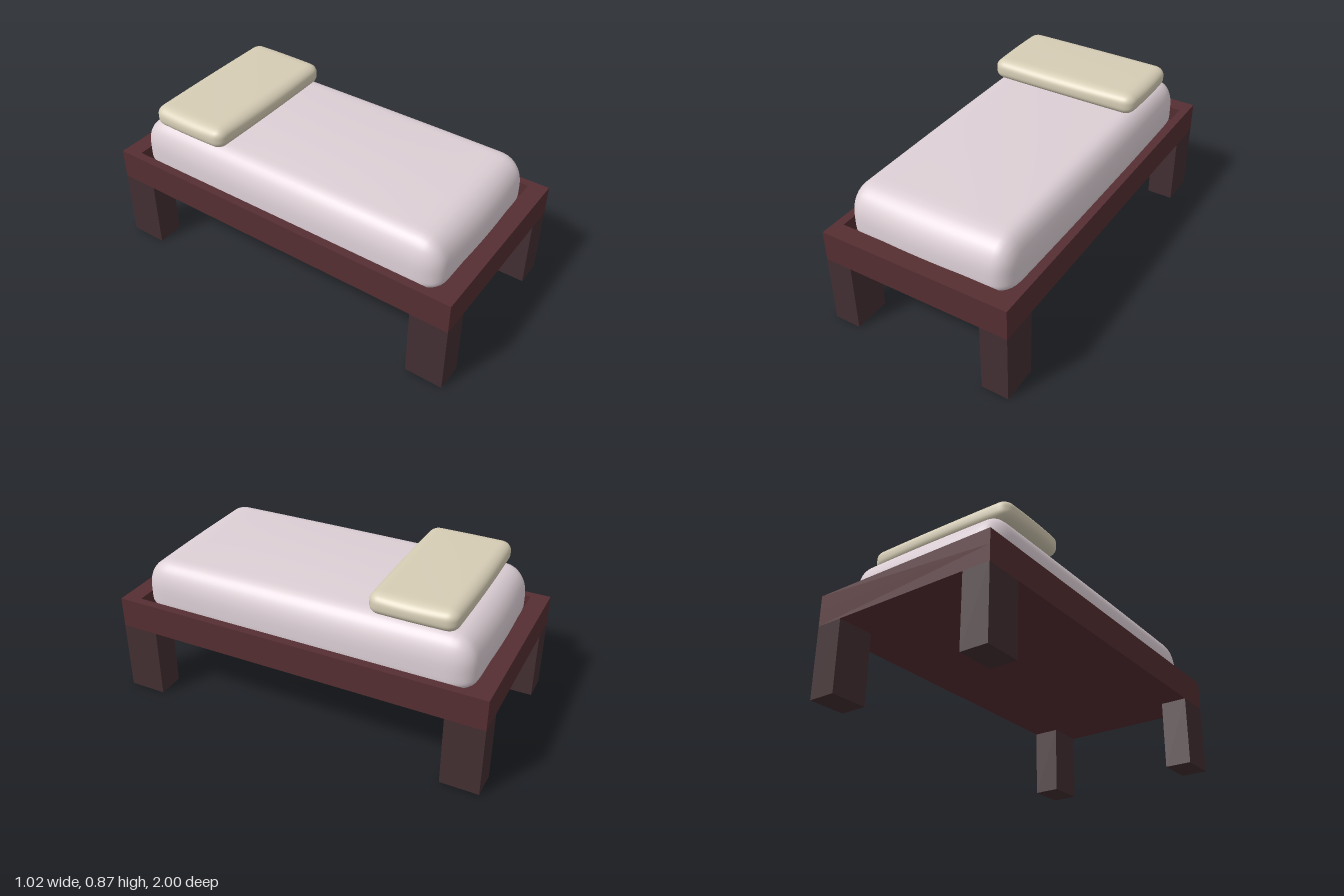
import * as THREE from 'three';
import { mergeVertices } from 'three/addons/utils/BufferGeometryUtils.js';

const material = (color) => new THREE.MeshStandardMaterial({ color });

// Soft box: half sizes, edge radii and outward bulge are given per axis [x, y, z].
// The lower half can be squashed with lowerScale.
function softBox(half, radius, bulge, lowerScale = 1) {
  let geo = new THREE.BoxGeometry(2, 2, 2, 32, 20, 32);
  geo.deleteAttribute('uv');
  geo.deleteAttribute('normal');
  const pos = geo.attributes.position;
  for (let i = 0; i < pos.count; i++) {
    const c = [pos.getX(i), pos.getY(i), pos.getZ(i)];
    // denser rows near the edges
    const u = c.map((v) => Math.sign(v) * (1 - (1 - Math.abs(v)) ** 2));
    const p = u.map((v, k) => v * half[k]);
    const core = p.map((v, k) => THREE.MathUtils.clamp(v, radius[k] - half[k], half[k] - radius[k]));
    const delta = new THREE.Vector3(...p.map((v, k) => (v - core[k]) / radius[k])).normalize().toArray();
    const out = core.map((v, k) => v + delta[k] * radius[k]);
    const n = out.map((v, k) => v / half[k]);
    const full = n.map((v, k) => out[k] + bulge[k] * v * (1 - n[(k + 1) % 3] ** 2) * (1 - n[(k + 2) % 3] ** 2));
    if (full[1] < 0) full[1] *= lowerScale;
    pos.setXYZ(i, ...full);
  }
  geo = mergeVertices(geo, 1e-5);
  geo.computeVertexNormals();
  return geo;
}

export function createModel() {
  const model = new THREE.Group();
  const wood = material(0x552e32);
  const legWood = material(0x432f32);

  const add = (name, geometry, mat, x, y, z) => {
    const mesh = new THREE.Mesh(geometry, mat);
    mesh.name = name;
    mesh.position.set(x, y, z);
    model.add(mesh);
    return mesh;
  };

  // Frame: solid base with a raised rim around the recess
  const bottom = 0.377, floor = 0.46, top = 0.54;
  add('frameBase', new THREE.BoxGeometry(1.02, floor - bottom, 2), wood, 0, (floor + bottom) / 2, 0);
  const rectangle = (Type, x, z) => new Type(
    [[-x, -z], [x, -z], [x, z], [-x, z]].map(([a, b]) => new THREE.Vector2(a, b)));
  const rim = rectangle(THREE.Shape, 0.51, 1);
  rim.holes.push(rectangle(THREE.Path, 0.465, 0.905));
  const rimGeo = new THREE.ExtrudeGeometry(rim, { depth: top - floor, bevelEnabled: false });
  rimGeo.rotateX(-Math.PI / 2);
  add('frameRim', rimGeo, wood, 0, floor, 0);

  // Four square-cut legs flush with the corners
  for (const [sx, sideName] of [[1, 'Left'], [-1, 'Right']]) {
    for (const [sz, endName] of [[1, 'front'], [-1, 'back']]) {
      add(`${endName}${sideName}Leg`, new THREE.BoxGeometry(0.145, bottom, 0.2), legWood,
        sx * 0.4375, bottom / 2, sz * 0.9);
    }
  }

  // Mattress, resting in the recess
  add('mattress', softBox([0.45, 0.2, 0.89], [0.09, 0.15, 0.12], [0.01, 0.017, 0.02], 0.41),
    material(0xddd0d6), -0.005, 0.55, 0);

  // Pillow at the head end
  add('pillow', softBox([0.42, 0.056, 0.22], [0.055, 0.045, 0.055], [0.01, 0.004, 0.008]),
    material(0xd6cdb5), -0.015, 0.805, -0.572);

  return model;
}
